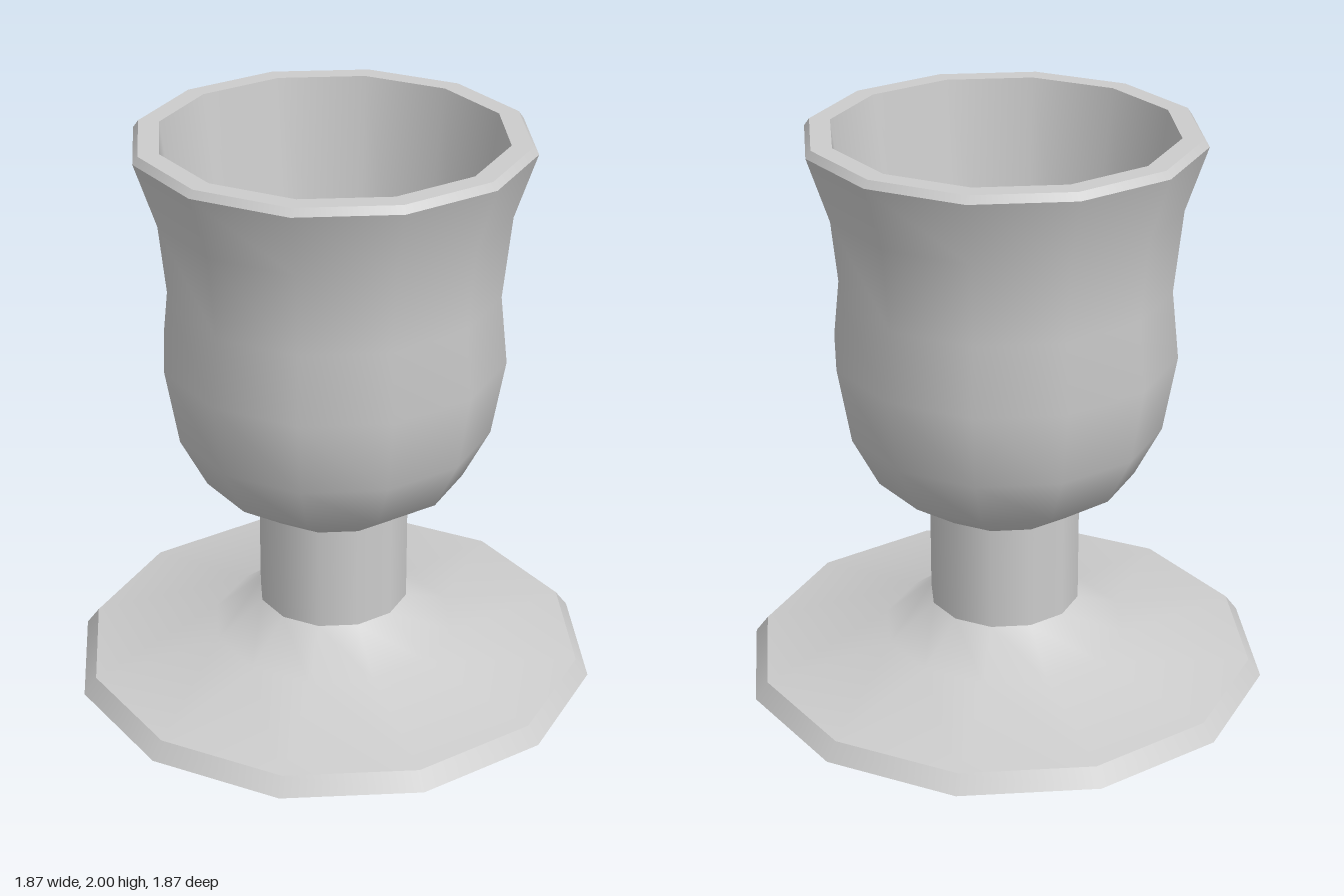
import * as THREE from 'three';

const SIDES = 12;

export function createModel() {
  const goblet = new THREE.Group();
  goblet.name = 'goblet';
  const stone = new THREE.MeshStandardMaterial({ color: 0xcccccc });
  stone.name = 'paleGrey';

  // Each band is smooth inside and meets its neighbours at a sharp edge.
  // Profiles are [radius, height] and run continuously from base to cup floor.
  const bands = {
    baseUnderside: [[0, 0], [0.935, 0]],
    baseEdge: [[0.935, 0], [0.89, 0.06]],
    baseTop: [[0.89, 0.06], [0.435, 0.13], [0.268, 0.26]],
    stem: [[0.268, 0.26], [0.268, 0.64]],
    bowl: [[0.268, 0.64], [0.46, 0.77], [0.553, 0.95], [0.6, 1.22],
      [0.575, 1.46], [0.605, 1.75], [0.68, 1.975]],
    rimBevel: [[0.68, 1.975], [0.662, 2]],
    rimTop: [[0.662, 2], [0.59, 2]],
    innerWall: [[0.59, 2], [0.445, 0.9]],
    cupFloor: [[0.445, 0.9], [0, 0.9]],
  };

  for (const [name, profile] of Object.entries(bands)) {
    const points = profile.map(([r, y]) => new THREE.Vector2(r, y));
    const mesh = new THREE.Mesh(new THREE.LatheGeometry(points, SIDES), stone);
    mesh.name = name;
    goblet.add(mesh);
  }
  return goblet;
}
